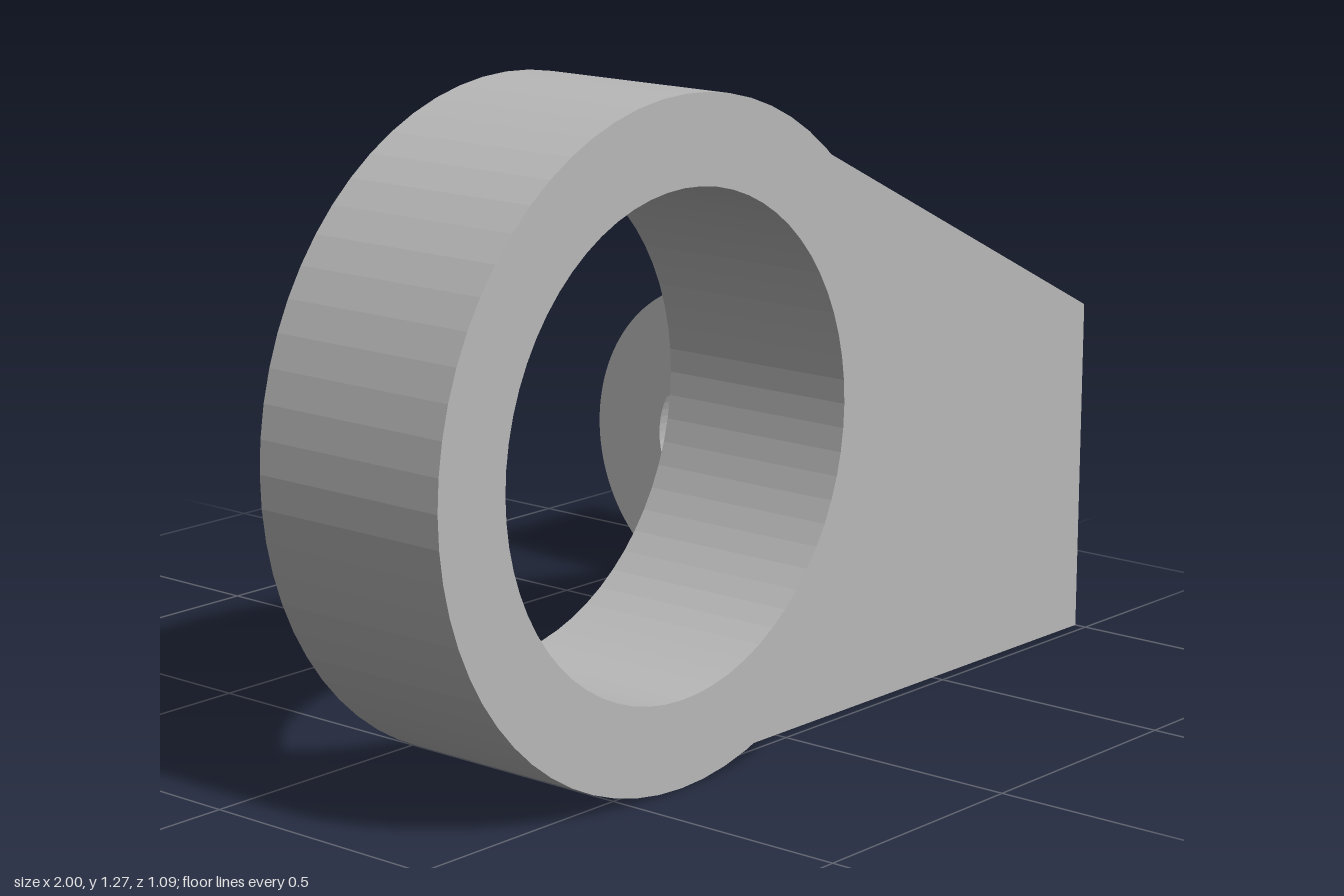
import * as THREE from 'three';

const CX = -0.3625, CY = 0.6375, R = 0.6375; // ring centre and outer radius
const LUG_Z = -0.205, LUG_R = 0.3415;        // lug eye centre and outer radius

export function createModel() {
  const group = new THREE.Group();
  group.name = 'bracket';
  const metal = new THREE.MeshStandardMaterial({ color: 0xb8b8b8 });
  metal.name = 'greyMetal';

  const extrude = (shape, depth) =>
    new THREE.ExtrudeGeometry(shape, { depth, bevelEnabled: false, curveSegments: 32 });
  const hole = (x, y, r) => new THREE.Path().absarc(x, y, r, 0, Math.PI * 2, true);
  const add = (name, geometry) => {
    const mesh = new THREE.Mesh(geometry, metal);
    mesh.name = name;
    group.add(mesh);
  };

  // Large bearing ring
  const ring = new THREE.Shape().absarc(CX, CY, R, 0, Math.PI * 2, false);
  ring.holes.push(hole(CX, CY, 0.47));
  add('ring', extrude(ring, 0.425).translate(0, 0, 0.12));

  // Web: tangent to the ring above and below, its inner edge tucked inside the ring wall
  const dx = 1 - CX, dy = 2 * LUG_R - CY;
  const tangent = Math.atan2(dy, dx) + Math.acos(R / Math.hypot(dx, dy));
  const web = new THREE.Shape();
  web.moveTo(CX, 0);
  web.lineTo(1, 0);
  web.lineTo(1, 2 * LUG_R);
  web.lineTo(CX + R * Math.cos(tangent), CY + R * Math.sin(tangent));
  web.absarc(CX, CY, 0.58, tangent, -Math.PI / 2, true);
  web.closePath();
  add('web', extrude(web, 0.283).translate(0, 0, 0.192));

  // Lug with a rounded end and cross hole, drawn with shape x = -z
  const lug = new THREE.Shape();
  lug.moveTo(-0.192, 0);
  lug.lineTo(-LUG_Z, 0);
  lug.absarc(-LUG_Z, LUG_R, LUG_R, -Math.PI / 2, Math.PI / 2, false);
  lug.lineTo(-0.192, 2 * LUG_R);
  lug.closePath();
  lug.holes.push(hole(-LUG_Z, LUG_R, 0.171));
  add('lug', extrude(lug, 0.34).rotateY(Math.PI / 2).translate(0.66, 0, 0));

  return group;
}
